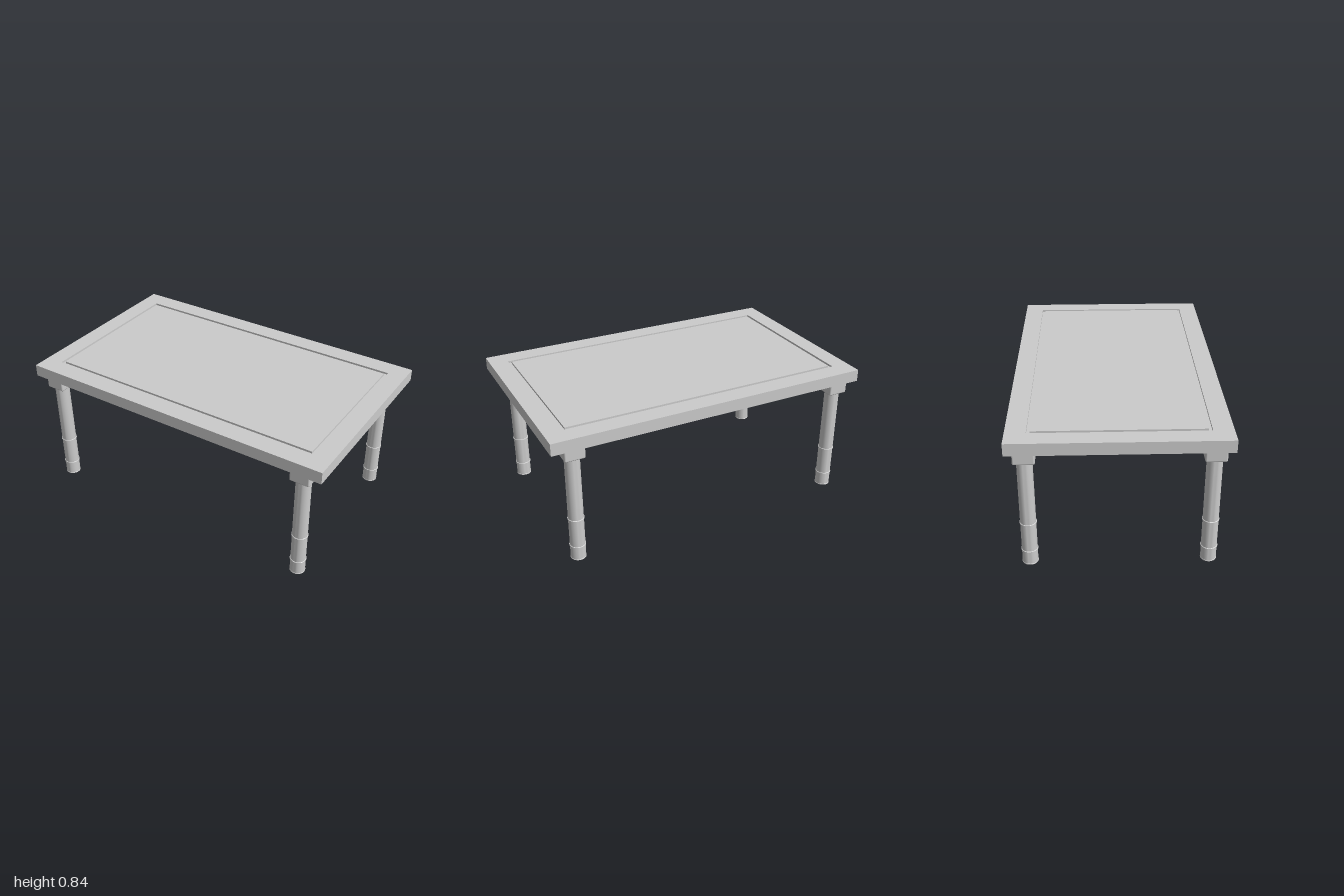
import * as THREE from 'three';
import { toCreasedNormals } from 'three/addons/utils/BufferGeometryUtils.js';
import { RoundedBoxGeometry } from 'three/addons/geometries/RoundedBoxGeometry.js';

const material = new THREE.MeshStandardMaterial({ color: 0xcccccc });

function addMesh(parent, name, geometry) {
  const mesh = new THREE.Mesh(geometry, material);
  mesh.name = name;
  parent.add(mesh);
  return mesh;
}

// Skins a series of nested rectangles, each given as [halfWidth, y, halfDepth]
function rectangleLoft(sections) {
  const positions = [];
  const corners = [[-1, 1], [1, 1], [1, -1], [-1, -1]];
  const corner = ([w, y, d], i) => [corners[i % 4][0] * w, y, corners[i % 4][1] * d];
  for (let s = 0; s < sections.length - 1; s++) {
    for (let i = 0; i < 4; i++) {
      const a = corner(sections[s], i), b = corner(sections[s], i + 1);
      const c = corner(sections[s + 1], i + 1), d = corner(sections[s + 1], i);
      positions.push(...a, ...b, ...c, ...a, ...c, ...d);
    }
  }
  const geometry = new THREE.BufferGeometry();
  geometry.setAttribute('position', new THREE.Float32BufferAttribute(positions, 3));
  geometry.computeVertexNormals();
  return geometry;
}

// Turned leg with a foot lip and two thin raised bands
function legGeometry() {
  const r = 0.0455, band = 0.049;
  const profile = [[0, 0], [0.047, 0], [0.047, 0.004], [r, 0.006]];
  for (const y of [0.088, 0.272]) {
    profile.push([r, y - 0.005], [band, y - 0.003], [band, y + 0.003], [r, y + 0.005]);
  }
  profile.push([0.0445, 0.69], [0, 0.69]);
  const points = profile.map(([x, y]) => new THREE.Vector2(x, y));
  return toCreasedNormals(new THREE.LatheGeometry(points, 32), 0.5);
}

export function createModel() {
  const table = new THREE.Group();
  table.name = 'table';

  // Slab with a narrow rectangular groove in its upper face
  const bottom = 0.767, top = 0.841, groove = 0.829;
  addMesh(table, 'tabletop', rectangleLoft([
    [0, bottom, 0], [1, bottom, 0.611], [1, top, 0.611],
    [0.89, top, 0.495], [0.89, groove, 0.495],
    [0.871, groove, 0.476], [0.871, top, 0.476], [0, top, 0],
  ]));

  // Four legs, each under a softly rounded mounting block
  const leg = legGeometry();
  const block = new RoundedBoxGeometry(0.122, 0.1, 0.122, 3, 0.009);
  for (const [side, x] of [['Right', -0.893], ['Left', 0.854]]) {
    for (const [end, z] of [['front', 0.515], ['back', -0.512]]) {
      const group = new THREE.Group();
      group.name = `${end}${side}Leg`;
      group.position.set(x, 0, z);
      addMesh(group, 'turnedLeg', leg);
      addMesh(group, 'mountingBlock', block).position.y = 0.73;
      table.add(group);
    }
  }
  return table;
}
